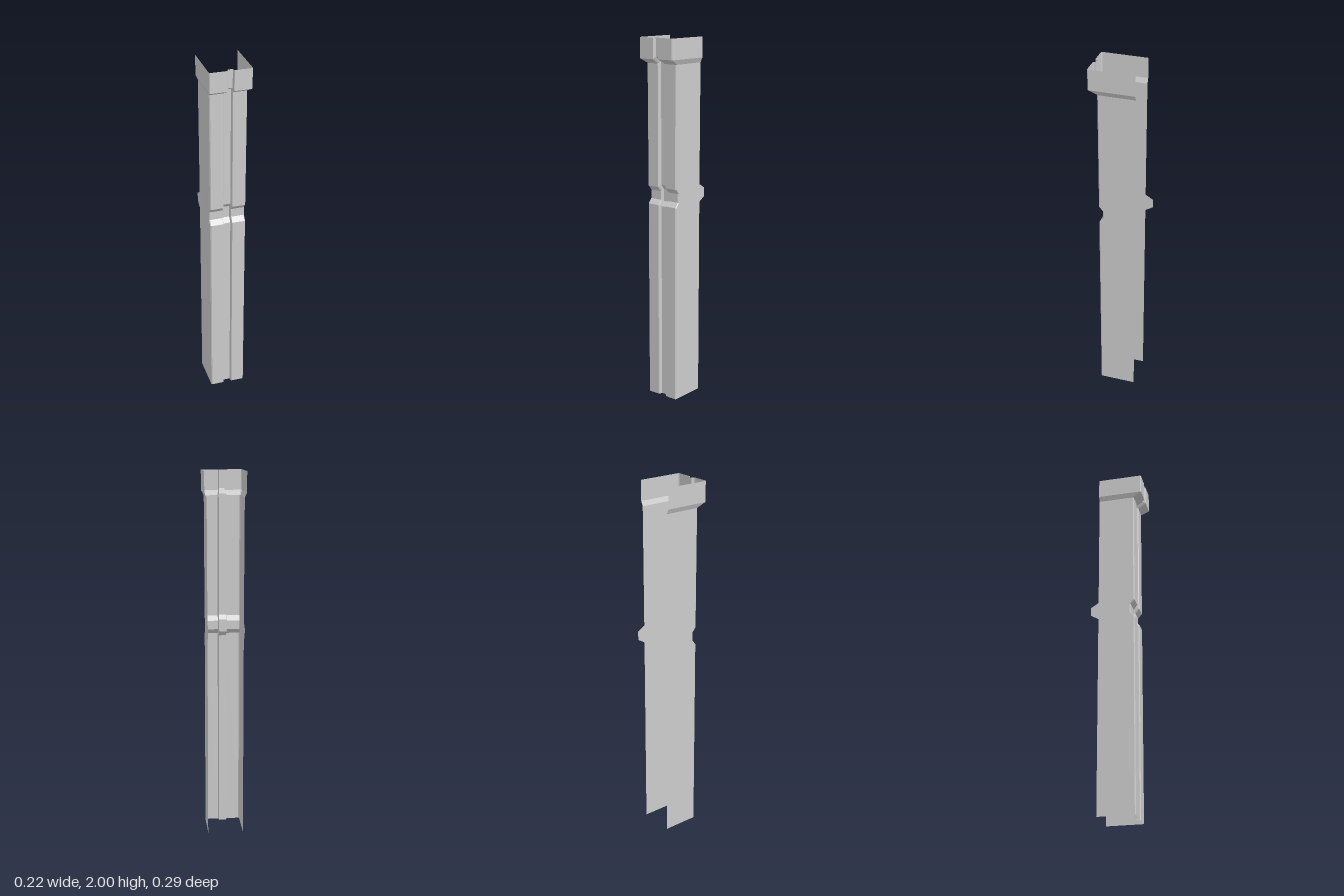
import * as THREE from 'three';

// Levels from bottom to top:
// y, half width, front z, back z, groove half width, groove floor z, groove y shift
const LEVELS = [
  [0, 0.098, 0.1, -0.103, 0.02, 0.079, 0],
  [1.104, 0.098, 0.1, -0.103, 0.02, 0.079, -0.009],
  [1.13, 0.098, 0.078, -0.145, 0.02, 0.058, -0.009],
  [1.178, 0.098, 0.078, -0.145, 0.02, 0.058, 0.009],
  [1.204, 0.098, 0.1, -0.103, 0.02, 0.079, 0.009],
  [1.864, 0.1, 0.1, -0.103, 0.02, 0.079, 0.011],
  [1.89, 0.112, 0.146, -0.103, 0.013, 0.129, 0.011],
  [2, 0.112, 0.146, -0.103, 0.013, 0.129, 0],
];

// Half cross-section from the groove floor round to the rear edge
function halfSection([y, w, front, back, grooveW, grooveZ, shift]) {
  const c = 0.005;
  return [
    [grooveW, y + shift, grooveZ],
    [grooveW + 0.002, y + shift * 0.5, front - c],
    [grooveW + 0.005, y, front],
    [w - c, y, front],
    [w, y, front - c],
    [w, y, back],
  ];
}

// Join matching section points of neighbouring levels into flat strips
function loft(sections) {
  const pos = [];
  for (let i = 0; i < sections.length - 1; i++) {
    const lo = sections[i], hi = sections[i + 1];
    for (let j = 0; j < lo.length - 1; j++) {
      const a = lo[j], b = lo[j + 1], c = hi[j + 1], d = hi[j];
      pos.push(...a, ...b, ...c, ...a, ...c, ...d);
    }
  }
  const geo = new THREE.BufferGeometry();
  geo.setAttribute('position', new THREE.Float32BufferAttribute(pos, 3));
  geo.computeVertexNormals();
  return geo;
}

export function createModel() {
  const group = new THREE.Group();
  group.name = 'channelPost';
  const material = new THREE.MeshStandardMaterial({
    color: 0xcccccc, side: THREE.DoubleSide, flatShading: true,
  });
  const add = (name, sections) => {
    const mesh = new THREE.Mesh(loft(sections), material);
    mesh.name = name;
    group.add(mesh);
  };

  const halves = LEVELS.map(halfSection);
  const flip = ([x, y, z]) => [-x, y, z];

  // Groove floor down the middle of the front
  add('grooveFloor', halves.map((s) => [flip(s[0]), s[0]]));

  // Front panels with groove walls and bevelled corners, then side flanges
  for (const [side, mirrored] of [['left', false], ['right', true]]) {
    const part = (from, to) => halves.map((s) => {
      const pts = s.slice(from, to);
      return mirrored ? pts.map(flip).reverse() : pts;
    });
    add(side + 'FrontPanel', part(0, 5));
    add(side + 'Flange', part(4, 6));
  }
  return group;
}
